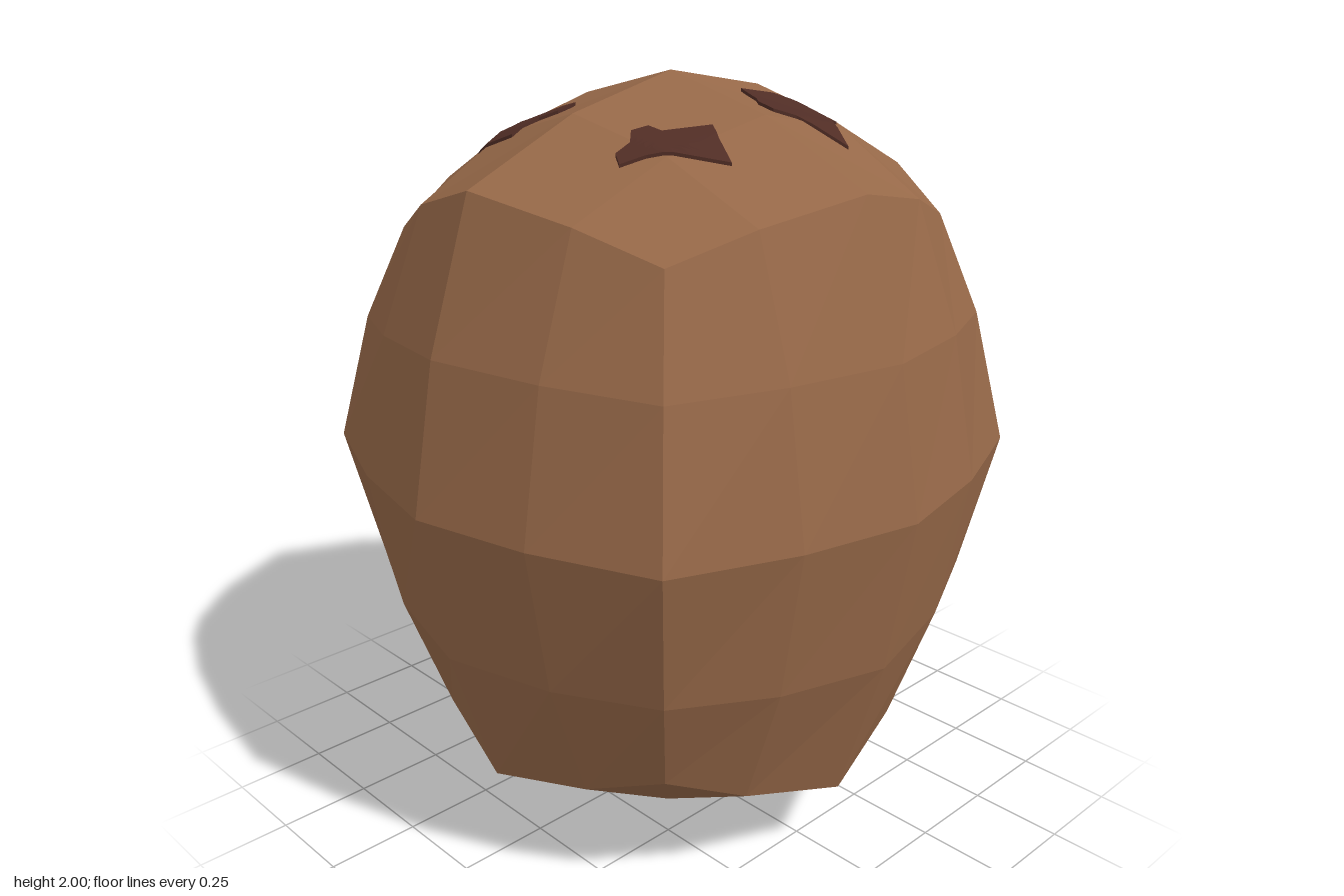
import * as THREE from 'three';

// Cube-sphere profile, indexed [0, half, full] along a face
const OUT = [[0.83, 0.76, 0.635], [0.76, 0.69, 0.57], [0.635, 0.57, 0.49]];
const SIDE = [[0, 0, 0], [0.32, 0.305, 0.285], [0.635, 0.57, 0.49]];

// Small height irregularities, rows z = back, middle, front; columns x = -, 0, +
const TOP = [[0.03, 0.05, 0.04], [0.005, 0, 0], [0, 0.005, 0.055]];
const BOTTOM = [[-0.02, 0.02, -0.035], [0.03, 0, -0.03], [-0.015, 0, -0.04]];

function sample(table, x, z) {
  const i = x < 0 ? 0 : 1, j = z < 0 ? 0 : 1;
  const u = x + 1 - i, v = z + 1 - j;
  return THREE.MathUtils.lerp(
    THREE.MathUtils.lerp(table[j][i], table[j][i + 1], u),
    THREE.MathUtils.lerp(table[j + 1][i], table[j + 1][i + 1], u), v);
}

// Map a point on the 2-unit cube to the faceted shell
function shellPoint(p) {
  const c = [p.x, p.y, p.z];
  const idx = c.map((v) => Math.round(Math.abs(v) * 2));
  const axis = idx.indexOf(2);
  const a = (axis + 1) % 3, b = (axis + 2) % 3;
  const r = [0, 0, 0];
  r[axis] = Math.sign(c[axis]) * OUT[idx[a]][idx[b]];
  r[a] = Math.sign(c[a]) * SIDE[idx[a]][idx[b]];
  r[b] = Math.sign(c[b]) * SIDE[idx[b]][idx[a]];
  const bump = sample(p.y > 0 ? TOP : BOTTOM, p.x, p.z) * Math.abs(p.y);
  return [r[0], 1.03 + r[1] * (p.y > 0 ? 1.168 : 1.24) + bump, r[2]];
}

function shellGeometry() {
  const box = new THREE.BoxGeometry(2, 2, 2, 4, 4, 4);
  const pos = box.attributes.position, p = new THREE.Vector3();
  for (let i = 0; i < pos.count; i++) {
    pos.setXYZ(i, ...shellPoint(p.fromBufferAttribute(pos, i)));
  }
  const geo = box.toNonIndexed();
  geo.clearGroups();
  geo.computeVertexNormals();
  return geo;
}

// Thin patch draped over the shell, outline given as [x, z] pairs
function patchGeometry(outline, shell) {
  const ray = new THREE.Raycaster(), down = new THREE.Vector3(0, -1, 0);
  const height = (x, z) => {
    ray.set(new THREE.Vector3(x + 1e-5, 3, z + 1e-5), down);
    return ray.intersectObject(shell)[0].point.y;
  };
  const n = outline.length, cuts = 3, rings = 5, rim = [];
  const cx = outline.reduce((s, q) => s + q[0], 0) / n;
  const cz = outline.reduce((s, q) => s + q[1], 0) / n;
  outline.forEach((q, i) => {
    const next = outline[(i + 1) % n];
    for (let k = 0; k < cuts; k++) {
      const t = k / cuts;
      rim.push([q[0] + (next[0] - q[0]) * t, q[1] + (next[1] - q[1]) * t]);
    }
  });
  const verts = [], index = [], m = rim.length;
  // the extra last ring tucks the edge into the shell
  for (let r = 0; r <= rings + 1; r++) {
    const f = Math.min(r / rings, 1), lift = r > rings ? -0.005 : 0.008;
    for (const [x, z] of rim) {
      const px = cx + (x - cx) * f, pz = cz + (z - cz) * f;
      verts.push(px, height(px, pz) + lift, pz);
    }
  }
  for (let r = 0; r <= rings; r++) {
    for (let i = 0; i < m; i++) {
      const a = r * m + i, b = r * m + (i + 1) % m;
      if (r > 0) index.push(a, b, a + m);
      index.push(b, b + m, a + m);
    }
  }
  const geo = new THREE.BufferGeometry();
  geo.setAttribute('position', new THREE.Float32BufferAttribute(verts, 3));
  geo.setIndex(index);
  const flat = geo.toNonIndexed();
  flat.computeVertexNormals();
  return flat;
}

// Patch outlines listed clockwise as seen from above
const PATCHES = {
  backRightSpot: [[-0.35, -0.395], [-0.3, -0.4], [-0.26, -0.36], [-0.18, -0.24], [-0.25, -0.17],
    [-0.31, -0.105], [-0.41, -0.135], [-0.425, -0.2], [-0.36, -0.31]],
  backLeftSpot: [[0.1, -0.27], [0.15, -0.32], [0.27, -0.325], [0.285, -0.29], [0.405, -0.21],
    [0.3, -0.135], [0.27, -0.085], [0.22, -0.085], [0.185, -0.115], [0.105, -0.145]],
  frontRightSpot: [[-0.36, 0.245], [-0.285, 0.23], [-0.225, 0.165], [-0.18, 0.16], [-0.165, 0.185],
    [-0.17, 0.225], [-0.21, 0.255], [-0.205, 0.345], [-0.3, 0.355], [-0.34, 0.35], [-0.32, 0.31], [-0.355, 0.28]],
  frontLeftSpot: [[0.28, 0.135], [0.33, 0.165], [0.405, 0.2], [0.31, 0.29], [0.27, 0.335],
    [0.24, 0.39], [0.205, 0.37], [0.205, 0.325], [0.17, 0.29], [0.18, 0.245], [0.22, 0.24]],
};

export function createModel() {
  const group = new THREE.Group();
  group.name = 'coconut';
  const brown = new THREE.MeshStandardMaterial({ color: 0x966848 });
  brown.name = 'huskBrown';
  const dark = new THREE.MeshStandardMaterial({ color: 0x502d25, side: THREE.DoubleSide });
  dark.name = 'spotBrown';

  const shell = new THREE.Mesh(shellGeometry(), brown);
  shell.name = 'shell';
  group.add(shell);

  for (const [name, outline] of Object.entries(PATCHES)) {
    const spot = new THREE.Mesh(patchGeometry(outline, shell), dark);
    spot.name = name;
    group.add(spot);
  }
  return group;
}
